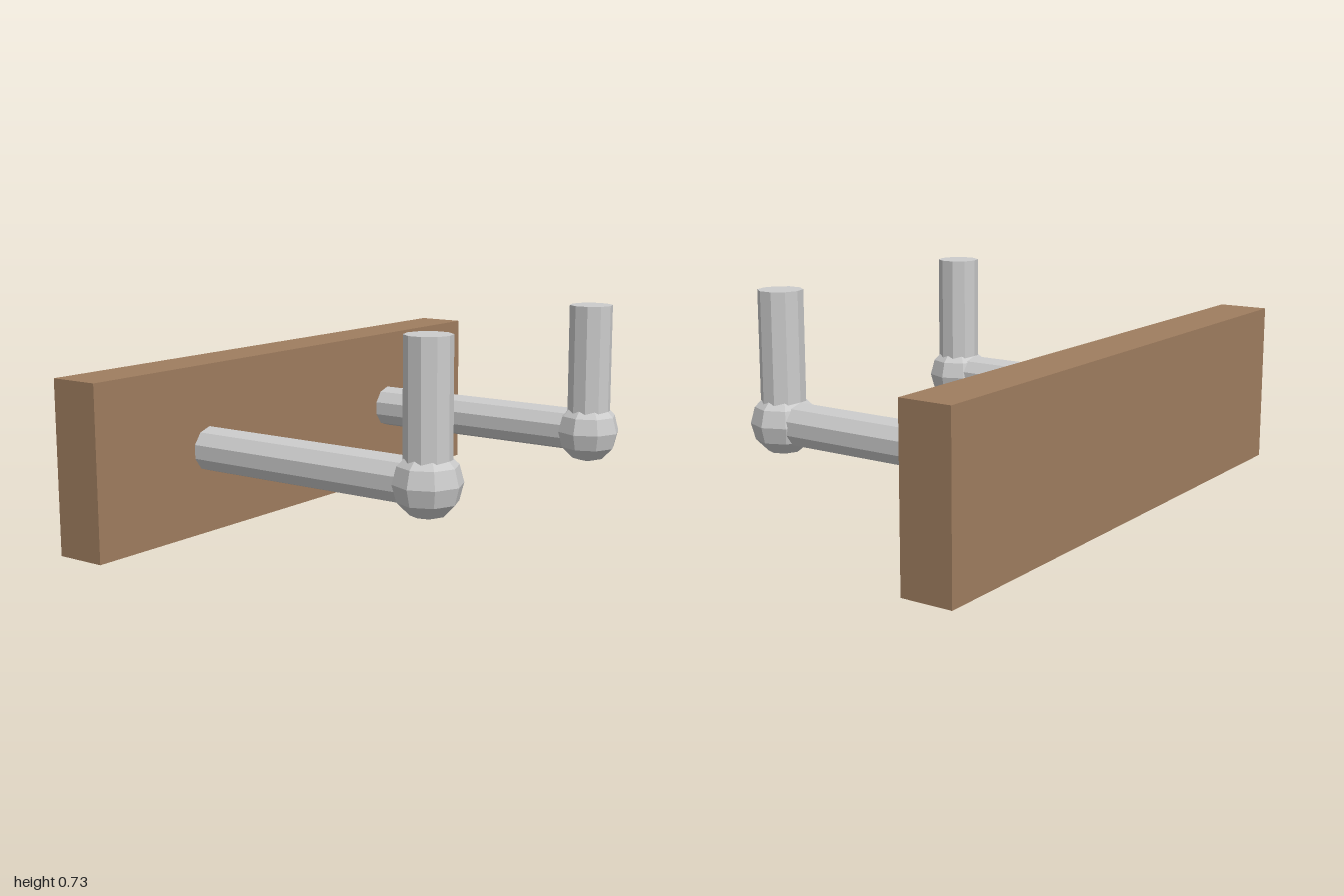
import * as THREE from 'three';

const PEG_X = 0.5, JOINT_Y = 0.282, JOINT_Z = 0.47, ROD_R = 0.075;
const BOARD_FRONT = -0.405, BOARD_BACK = -0.58, BOARD_H = 0.565, PEG_TOP = 0.727;

const wood = new THREE.MeshStandardMaterial({ color: 0x9f7d5f });
const metal = new THREE.MeshStandardMaterial({ color: 0xcccccc, flatShading: true });

function part(name, geometry, material, x, y, z) {
  const mesh = new THREE.Mesh(geometry, material);
  mesh.name = name;
  mesh.position.set(x, y, z);
  return mesh;
}

// One hook: arm out of the board, faceted ball joint, upright peg
function createHook(name, x) {
  const hook = new THREE.Group();
  hook.name = name;
  hook.position.x = x;

  const armLength = JOINT_Z - BOARD_FRONT;
  const armGeometry = new THREE.CylinderGeometry(ROD_R, ROD_R, armLength, 10).rotateX(Math.PI / 2);
  hook.add(part('arm', armGeometry, metal, 0, JOINT_Y, BOARD_FRONT + armLength / 2));

  hook.add(part('ballJoint', new THREE.SphereGeometry(0.11, 8, 6), metal, 0, JOINT_Y, JOINT_Z));

  const pegLength = PEG_TOP - JOINT_Y;
  const pegGeometry = new THREE.CylinderGeometry(ROD_R, ROD_R, pegLength, 10);
  hook.add(part('uprightPeg', pegGeometry, metal, 0, JOINT_Y + pegLength / 2, JOINT_Z));
  return hook;
}

export function createModel() {
  const model = new THREE.Group();
  model.name = 'wallHookRack';

  // Backing board
  const board = new THREE.BoxGeometry(2, BOARD_H, BOARD_FRONT - BOARD_BACK);
  model.add(part('backBoard', board, wood, 0, BOARD_H / 2, (BOARD_FRONT + BOARD_BACK) / 2));

  // Mirrored pair of hooks
  model.add(createHook('leftHook', PEG_X), createHook('rightHook', -PEG_X));
  return model;
}
